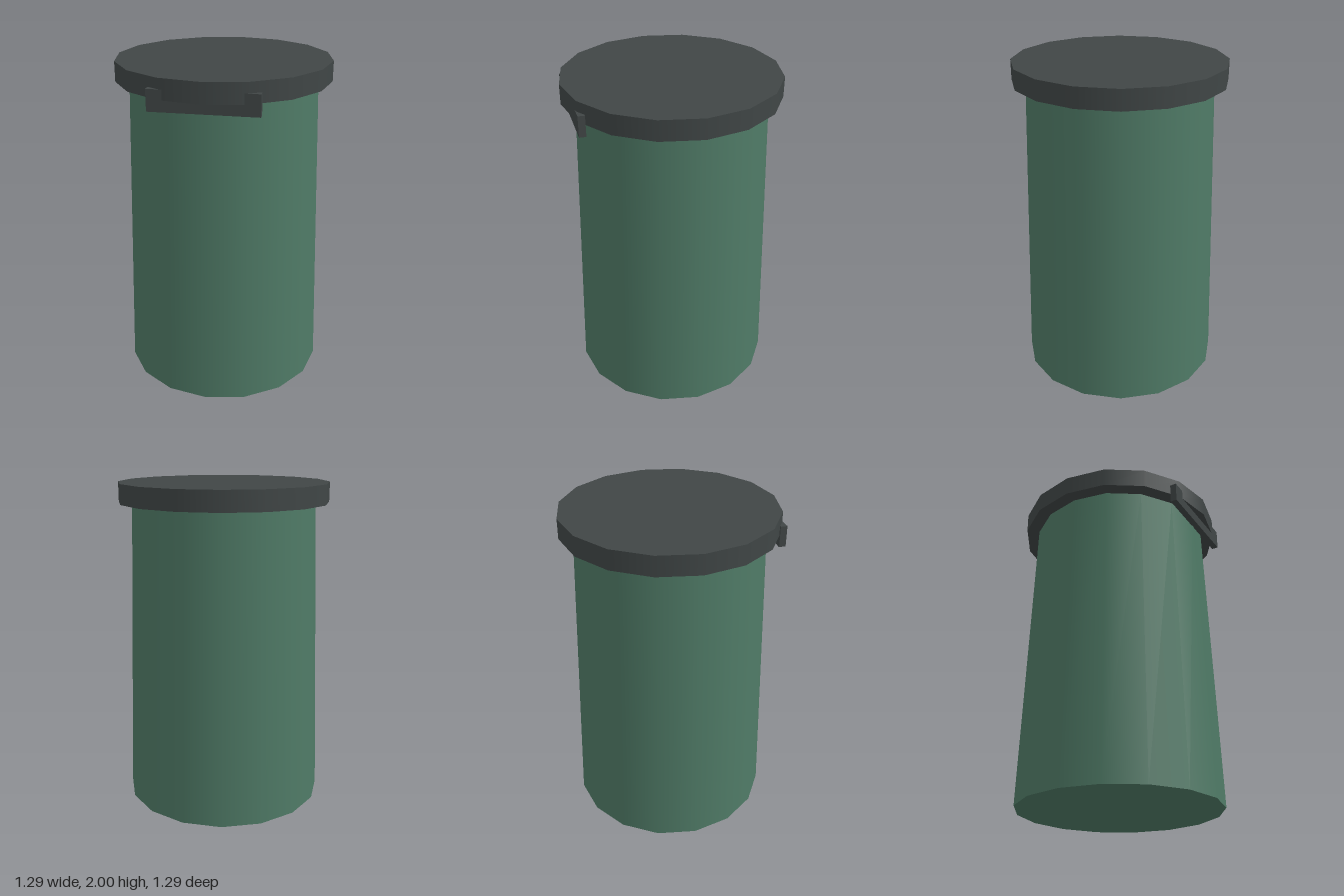
import * as THREE from 'three';

const SIDES = 16;

export function createModel() {
  const green = new THREE.MeshStandardMaterial({ color: 0x4f7a66 });
  green.name = 'green plastic';
  const charcoal = new THREE.MeshStandardMaterial({ color: 0x404646 });
  charcoal.name = 'charcoal plastic';

  const model = new THREE.Group();
  model.name = 'bin';

  const add = (name, geometry, material, y, z = 0) => {
    const mesh = new THREE.Mesh(geometry, material);
    mesh.name = name;
    mesh.position.set(0, y, z);
    model.add(mesh);
  };

  // Tapered body, wider at the foot
  add('body', new THREE.CylinderGeometry(0.563, 0.623, 1.88, SIDES), green, 0.94);

  // Overhanging flat lid
  add('lid', new THREE.CylinderGeometry(0.645, 0.645, 0.12, SIDES), charcoal, 1.94);

  // Straight grip bar below the front rim
  add('handle', new THREE.BoxGeometry(0.62, 0.124, 0.04), charcoal, 1.877, 0.581);

  return model;
}
